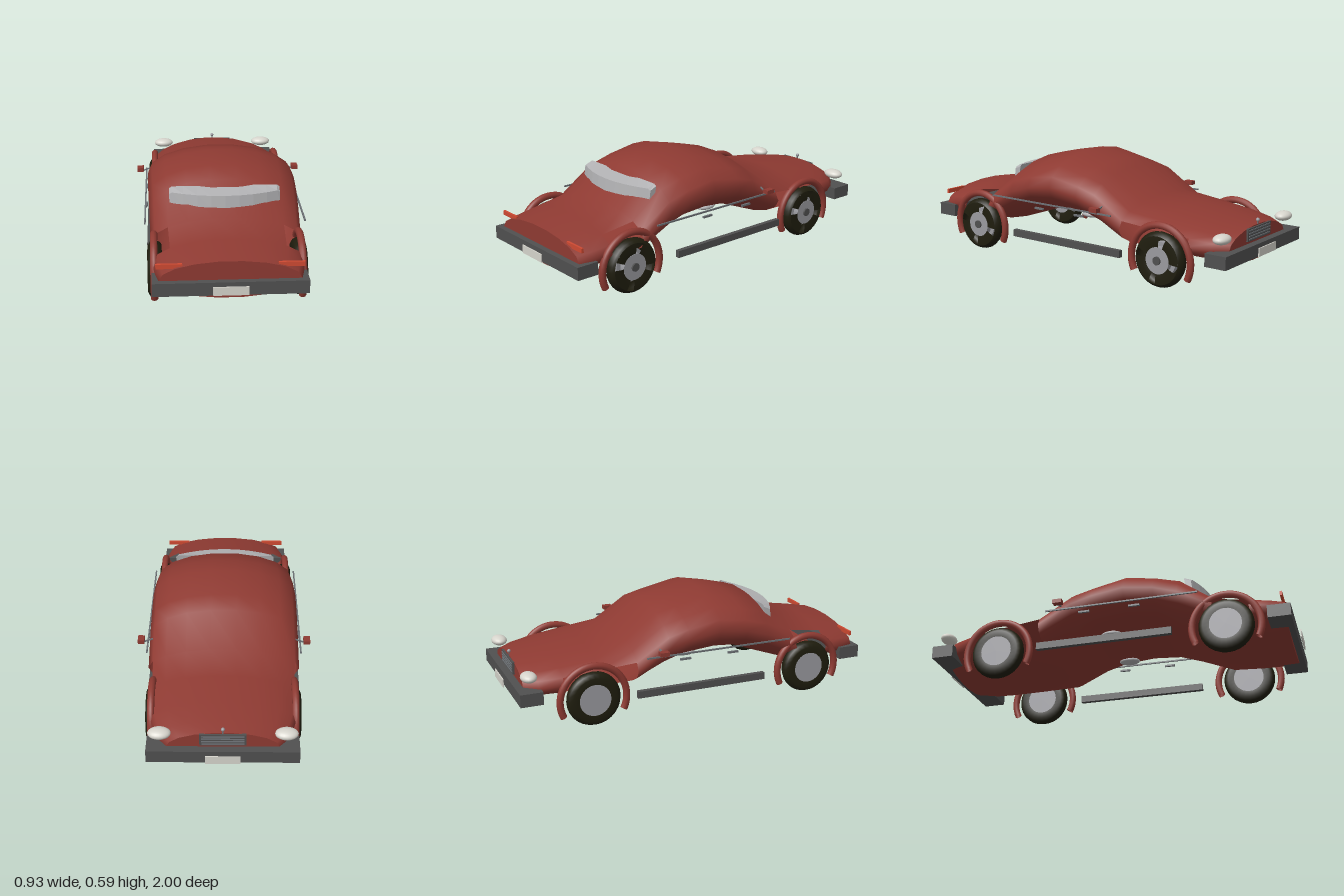
import * as THREE from 'three';

const mat = (name, color, side = THREE.FrontSide) => {
  const m = new THREE.MeshStandardMaterial({ color, side });
  m.name = name;
  return m;
};

// Skins rows of points; skip(row, i) leaves a quad open.
function loft(rows, skip = () => false) {
  const n = rows[0].length, index = [];
  for (let r = 0; r < rows.length - 1; r++) {
    for (let i = 0; i < n; i++) {
      if (skip(r, i)) continue;
      const a = r * n + i, b = r * n + (i + 1) % n;
      index.push(a, b, a + n, b, b + n, a + n);
    }
  }
  const g = new THREE.BufferGeometry();
  g.setAttribute('position', new THREE.Float32BufferAttribute(rows.flat(2), 3));
  g.setIndex(index);
  g.computeVertexNormals();
  return g;
}

// Flat fan closing one row of points.
function cap(row, flip) {
  const index = [];
  for (let i = 1; i < row.length - 1; i++) index.push(0, flip ? i + 1 : i, flip ? i : i + 1);
  const g = new THREE.BufferGeometry();
  g.setAttribute('position', new THREE.Float32BufferAttribute(row.flat(), 3));
  g.setIndex(index);
  g.computeVertexNormals();
  return g;
}

export function createModel() {
  const paint = mat('redPaint', 0x8e3a32, THREE.DoubleSide);
  const rubber = mat('tyreRubber', 0x1f1d0e, THREE.DoubleSide);
  const bumperGrey = mat('bumperGrey', 0x505050);
  const trim = mat('trimGrey', 0x6c7074);
  const glass = mat('windowGrey', 0xb2b2b4, THREE.DoubleSide);
  const hubGrey = mat('hubGrey', 0x9a9a9f);
  const ivory = mat('lampIvory', 0xd6d4cc);
  const orange = mat('signalOrange', 0xcf4a32);

  const car = new THREE.Group();
  car.name = 'car';
  const add = (name, geo, material, x = 0, y = 0, z = 0, parent = car) => {
    const m = new THREE.Mesh(geo, material);
    m.name = name;
    m.position.set(x, y, z);
    parent.add(m);
    return m;
  };
  const box = (name, w, h, d, material, x, y, z) =>
    add(name, new THREE.BoxGeometry(w, h, d), material, x, y, z);

  // Body: elliptical sections [z, top, bottom, half width], front to back
  const sections = [
    [0.95, 0.32, 0.13, 0.345], [0.87, 0.335, 0.13, 0.365], [0.77, 0.353, 0.13, 0.375],
    [0.58, 0.385, 0.14, 0.385], [0.4, 0.53, 0.2, 0.39], [0.27, 0.56, 0.25, 0.395],
    [0.11, 0.59, 0.26, 0.4], [-0.07, 0.547, 0.25, 0.4], [-0.18, 0.52, 0.215, 0.4],
    [-0.36, 0.39, 0.145, 0.402], [-0.56, 0.365, 0.14, 0.39], [-0.75, 0.34, 0.135, 0.37],
    [-0.87, 0.322, 0.13, 0.335], [-0.94, 0.31, 0.13, 0.28],
  ];
  const SIDES = 18;
  const rows = sections.map(([z, top, bottom, rx]) =>
    Array.from({ length: SIDES }, (_, i) => {
      const a = (i + 0.5) * 2 * Math.PI / SIDES;
      return [rx * Math.sin(a), (top + bottom) / 2 + (top - bottom) / 1.97 * Math.cos(a), z];
    }));
  // Wheel openings are left out of the skin on both sides
  const wheelOpening = (r, i) => {
    const k = Math.min(i, SIDES - 2 - i);
    if (r === 2) return k >= 2 && k <= 5;
    if (r === 9 || r === 10) return k >= 3 && k <= 5;
    return false;
  };
  add('bodyShell', loft(rows, wheelOpening), paint);
  add('frontPanel', cap(rows[0], true), paint);
  add('backPanel', cap(rows[rows.length - 1], false), paint);

  // Curved front window
  const windowRows = [-1, -0.95, -0.75, -0.5, -0.25, 0, 0.25, 0.5, 0.75, 0.95, 1].map(t => {
    const b = 1 - t * t, end = Math.abs(t) === 1 ? 0.01 : 0, x = t * 0.285;
    const f = 0.465 + 0.07 * b;
    return [
      [x, 0.411 + 0.01 * b + end, f],
      [x, 0.485 - end, f - 0.008],
      [x, 0.502 - end, 0.42],
      [x, 0.425, 0.43],
    ];
  });
  const windowGeo = loft(windowRows).toNonIndexed();
  windowGeo.computeVertexNormals();
  add('frontWindow', windowGeo, glass);
  add('windowEndRight', cap(windowRows[0], false), glass);
  add('windowEndLeft', cap(windowRows[windowRows.length - 1], true), glass);

  // Wheel parts turn about x
  const lathe = (pts, start = 0, len = Math.PI * 2, segs = 28) =>
    new THREE.LatheGeometry(pts.map(p => new THREE.Vector2(...p)), segs, start, len).rotateZ(-Math.PI / 2);
  const tread = lathe([[0.085, -0.034], [0.118, -0.036], [0.138, -0.024], [0.145, -0.006],
    [0.145, 0.006], [0.138, 0.024], [0.126, 0.034]]);
  const disc = (r, w) => new THREE.CylinderGeometry(r, r, w, 24).rotateZ(-Math.PI / 2);
  const GAP = 0.34;

  for (const s of [1, -1]) {
    const side = s > 0 ? 'Left' : 'Right';
    for (const [end, z] of [['front', 0.65], ['back', -0.595]]) {
      const wheel = new THREE.Group();
      wheel.name = `${end}${side}Wheel`;
      wheel.position.set(s * 0.364, 0.145, z);
      car.add(wheel);
      add('tyreTread', tread, rubber, 0, 0, 0, wheel);
      // Outer wall in four pieces with slots between
      for (let k = 0; k < 4; k++) {
        const start = Math.PI + 1.31 + k * Math.PI / 2 + GAP / 2;
        add('tyreWall', lathe([[0.06, 0.03], [0.09, 0.036], [0.126, 0.034]], start, Math.PI / 2 - GAP, 8),
          rubber, 0, 0, 0, wheel);
      }
      add('hubDisc', disc(0.07, 0.03), hubGrey, 0.018, 0, 0, wheel);
      add('hubBack', disc(0.09, 0.03), hubGrey, -0.017, 0, 0, wheel);
      add('hubCap', disc(0.022, 0.012), bumperGrey, 0.036, 0, 0, wheel);

      // Wheel arch
      const arc = Math.PI * 1.28;
      const arch = new THREE.TorusGeometry(0.18, 0.019, 10, 32, arc)
        .rotateZ(Math.PI / 2 - arc / 2).rotateY(Math.PI / 2);
      add(`${end}${side}Arch`, arch, paint, s * 0.367, 0.142, z);
    }

    // Side trim, handles and running board
    box(`trimLine${side}`, 0.008, 0.008, 0.83, trim, s * 0.412, 0.336, 0.1);
    for (const z of [0.175, -0.1]) box(`doorHandle${side}`, 0.012, 0.01, 0.06, trim, s * 0.408, 0.306, z);
    box(`runningBoard${side}`, 0.025, 0.038, 0.735, bumperGrey, s * 0.394, 0.14, 0.003);

    // Mirror
    box(`mirror${side}`, 0.035, 0.022, 0.05, paint, s * 0.446, 0.363, -0.235);
    box(`mirrorStem${side}`, 0.06, 0.006, 0.008, trim, s * 0.405, 0.361, -0.235).rotation.z = -s * 0.35;

    // Lamps
    box(`signal${side}`, 0.128, 0.024, 0.012, orange, s * 0.294, 0.295, 0.935);
    add(`lamp${side}`, new THREE.SphereGeometry(1, 20, 14).scale(0.058, 0.026, 0.042), ivory, s * 0.312, 0.29, -0.918);

    // Panel under the floor
    add(`floorPanel${side}`, new THREE.SphereGeometry(1, 12, 8).scale(0.04, 0.017, 0.06), glass, s * 0.185, 0.26, -0.01);
  }

  // Bumpers and blank plates
  for (const [end, s] of [['front', 1], ['back', -1]]) {
    box(`${end}Bumper`, 0.756, 0.068, 0.12, bumperGrey, 0, 0.191, s * 0.921);
    box(`${end}Plate`, 0.172, 0.044, 0.006, ivory, 0, 0.187, s * 0.997);
  }

  // Grille with bars, and the small ball above it
  box('grilleFrame', 0.23, 0.066, 0.012, bumperGrey, 0, 0.272, -0.944);
  for (let i = 0; i < 4; i++) box('grilleBar', 0.21, 0.006, 0.008, trim, 0, 0.25 + i * 0.015, -0.95);
  box('ornamentStem', 0.006, 0.03, 0.006, trim, 0, 0.316, -0.938);
  add('ornamentBall', new THREE.SphereGeometry(0.01, 12, 8), hubGrey, 0, 0.331, -0.938);

  return car;
}
